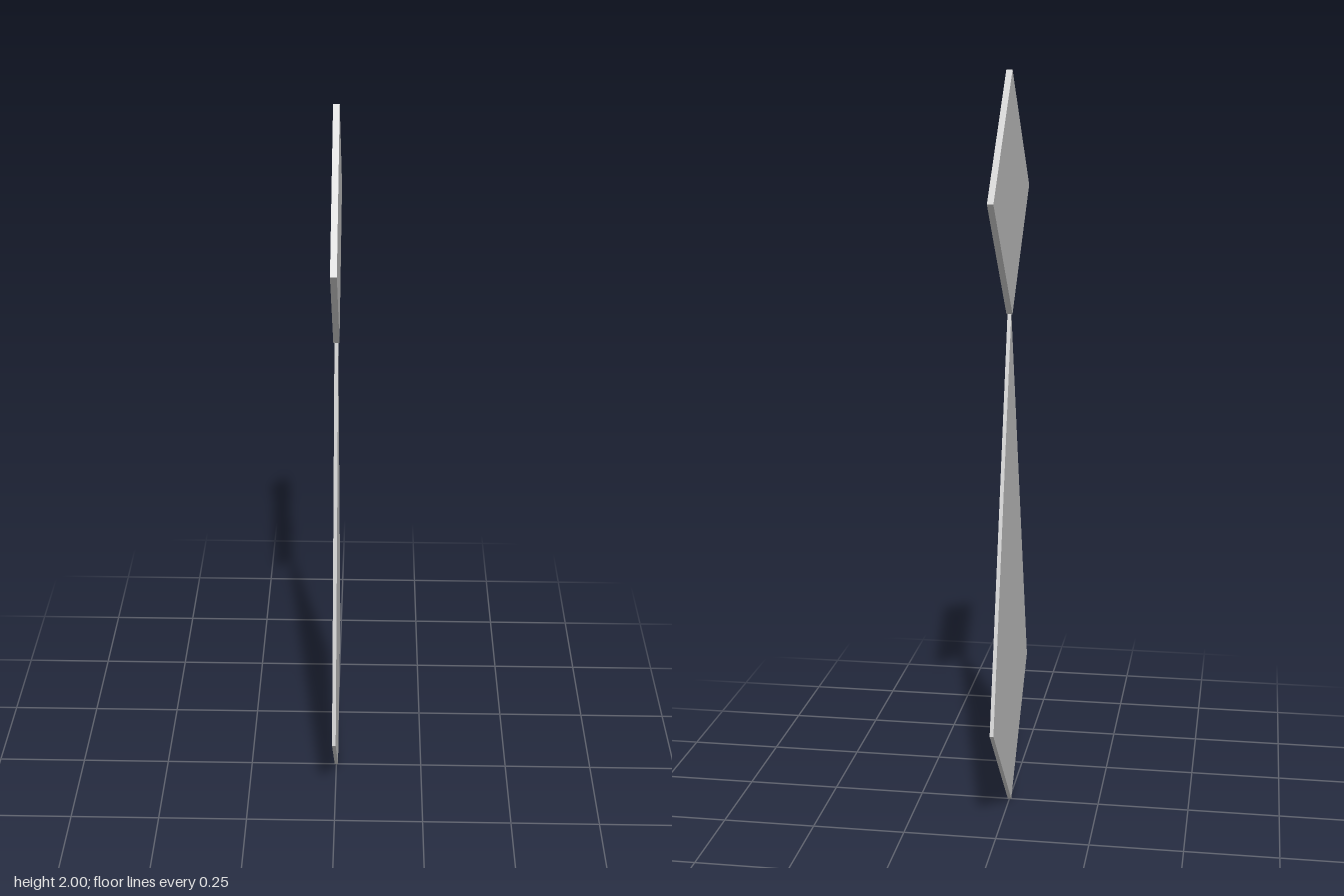
import * as THREE from 'three';

const HALF_WIDTH = 0.314;

// Flat kite-shaped plate in the YZ plane, centred on x = 0
function kite(name, bottom, middle, top, thickness, material) {
  const shape = new THREE.Shape([
    new THREE.Vector2(0, bottom),
    new THREE.Vector2(HALF_WIDTH, middle),
    new THREE.Vector2(0, top),
    new THREE.Vector2(-HALF_WIDTH, middle),
  ]);
  const geometry = new THREE.ExtrudeGeometry(shape, { depth: thickness, bevelEnabled: false });
  geometry.translate(0, 0, -thickness / 2);
  geometry.rotateY(Math.PI / 2);
  const mesh = new THREE.Mesh(geometry, material);
  mesh.name = name;
  return mesh;
}

export function createModel() {
  const material = new THREE.MeshStandardMaterial({ color: 0xcccccc, flatShading: true });
  const model = new THREE.Group();
  model.name = 'kitePendant';
  // Square diamond on top, long tapering kite hanging from its lower corner
  model.add(kite('upperDiamond', 1.374, 1.687, 2, 0.016, material));
  model.add(kite('lowerKite', 0, 0.318, 1.38, 0.01, material));
  return model;
}
